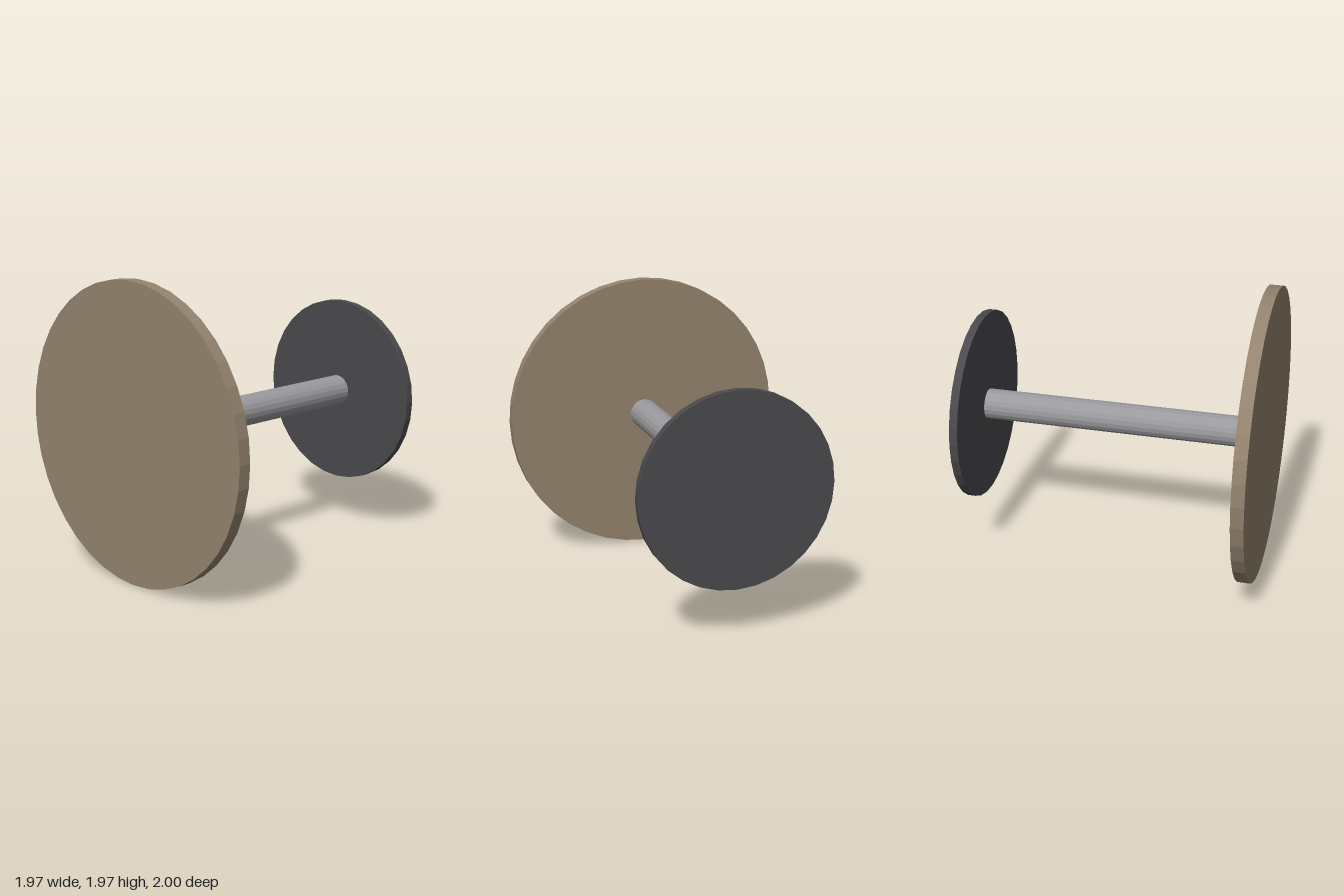
import * as THREE from 'three';

const AXIS_Y = 0.987;

// Faceted cylinder lying along z, spanning zBack to zFront
function disc(name, radius, zBack, zFront, sides, color) {
  const geometry = new THREE.CylinderGeometry(radius, radius, zFront - zBack, sides);
  geometry.rotateX(Math.PI / 2);
  const material = new THREE.MeshStandardMaterial({ color, flatShading: true });
  const mesh = new THREE.Mesh(geometry, material);
  mesh.name = name;
  mesh.position.set(0, AXIS_Y, (zBack + zFront) / 2);
  return mesh;
}

export function createModel() {
  const model = new THREE.Group();
  model.name = 'pedestalTable';
  model.add(
    disc('tableTop', 0.987, 0.915, 1, 40, 0x94836e), // large front disc
    disc('post', 0.104, -0.945, 0.915, 20, 0x9a9a9e), // connecting shaft
    disc('base', 0.645, -1, -0.945, 32, 0x4a4a4d) // small rear disc
  );
  return model;
}
